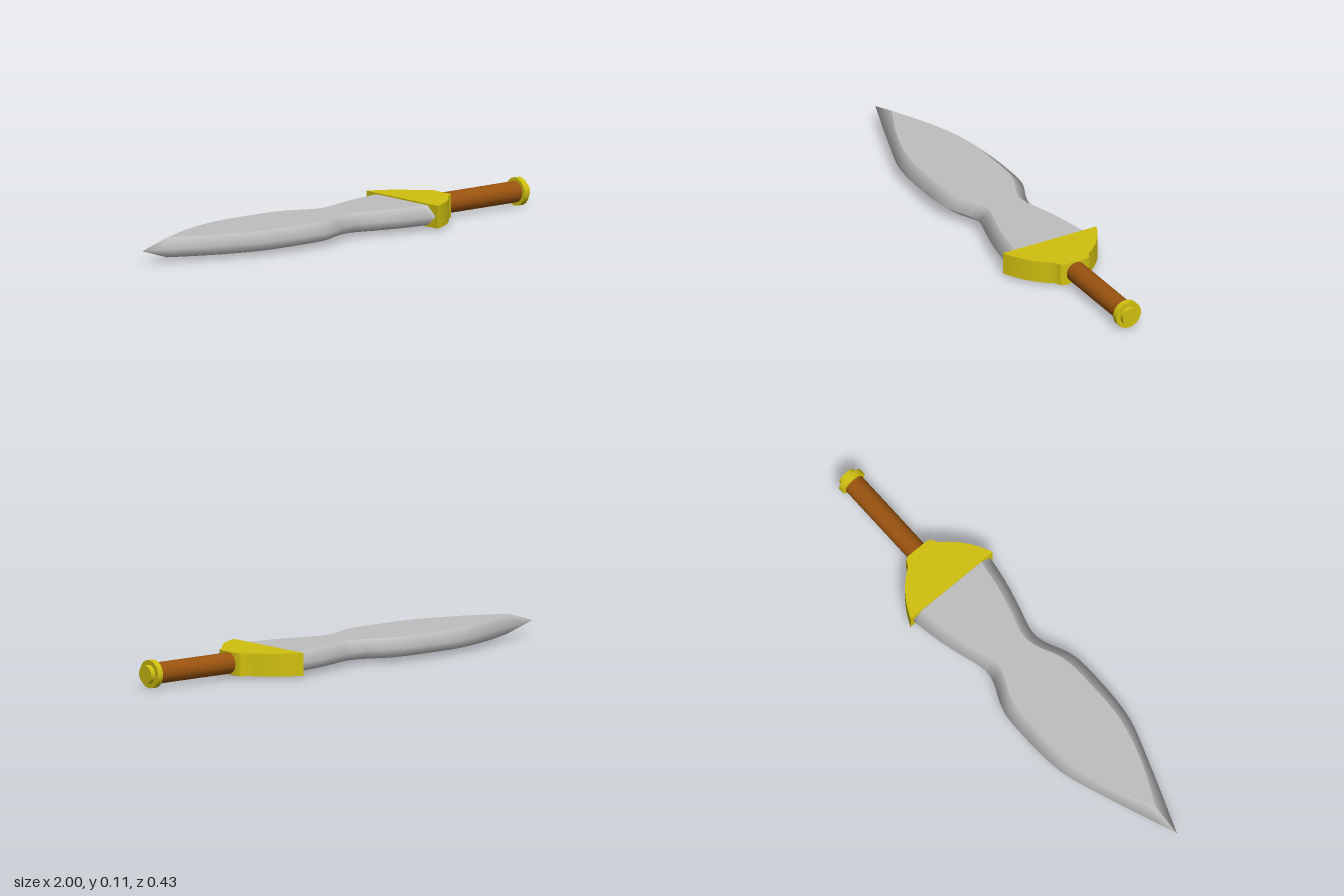
import * as THREE from 'three';
import { toCreasedNormals } from 'three/addons/utils/BufferGeometryUtils.js';

const MID = 0.06; // height of the sword's axis

const material = (name, color) => new THREE.MeshStandardMaterial({ name, color });

// Surface through columns of points; each column runs from tip to guard
function strip(columns) {
  const n = columns[0].length;
  const positions = columns.flatMap((col) => col.flatMap((p) => p.toArray()));
  const index = [];
  for (let c = 0; c < columns.length - 1; c++) {
    for (let i = 0; i < n - 1; i++) {
      const a = c * n + i, b = a + n;
      index.push(a, b, b + 1, a, b + 1, a + 1);
    }
  }
  const geometry = new THREE.BufferGeometry();
  geometry.setAttribute('position', new THREE.Float32BufferAttribute(positions, 3));
  geometry.setIndex(index);
  geometry.computeVertexNormals();
  return geometry;
}

// Smooth line along the blade from [x, half width] pairs
function bladeLine(points) {
  const curve = new THREE.CatmullRomCurve3(points.map(([x, z]) => new THREE.Vector3(x, 0, z)));
  return curve.getPoints((points.length - 1) * 4);
}

export function createModel() {
  const steel = material('steel', 0xbebebe);
  const gold = material('gold', 0xd0c010);
  const leather = material('brown grip', 0x9a530f);

  const model = new THREE.Group();
  model.name = 'sword';
  const add = (name, geometry, mat, parent = model) => {
    const mesh = new THREE.Mesh(geometry, mat);
    mesh.name = name;
    parent.add(mesh);
    return mesh;
  };

  // Leaf-shaped blade: flat faces with rounded bevels meeting at the edge
  const blade = new THREE.Group();
  blade.name = 'blade';
  model.add(blade);
  const edge = bladeLine([[-1, 0], [-0.69, 0.117], [-0.505, 0.177], [-0.31, 0.191], [-0.16, 0.182],
    [-0.04, 0.132], [0.02, 0.124], [0.135, 0.155], [0.245, 0.183], [0.37, 0.204]]);
  const flat = bladeLine([[-0.87, 0], [-0.69, 0.083], [-0.505, 0.136], [-0.31, 0.145], [-0.16, 0.135],
    [-0.04, 0.086], [0.02, 0.078], [0.135, 0.11], [0.245, 0.137], [0.37, 0.156]]);
  const column = (line, y, side) => line.map((p) => new THREE.Vector3(p.x, MID + y, p.z * side));
  const H = 0.04;
  const top = (s) => column(flat, H, s);
  const bottom = (s) => column(flat, -H, s);
  add('bladeTopFace', strip([top(-1), top(1)]), steel, blade);
  add('bladeBottomFace', strip([bottom(1), bottom(-1)]), steel, blade);
  add('leftBevel', strip([top(1), column(edge, 0, 1), bottom(1)]), steel, blade);
  add('rightBevel', strip([bottom(-1), column(edge, 0, -1), top(-1)]), steel, blade);

  // Guard: curved wedge narrowing to the grip
  const half = [[0.363, 0.215], [0.385, 0.206], [0.415, 0.19], [0.45, 0.168], [0.485, 0.139],
    [0.515, 0.107], [0.535, 0.08], [0.55, 0.072], [0.562, 0.066], [0.57, 0.05]];
  const outline = [...half, ...half.map(([x, z]) => [x, -z]).reverse()];
  const guardShape = new THREE.Shape(outline.map(([x, z]) => new THREE.Vector2(x, z)));
  const guardDepth = 0.092;
  const guardGeometry = new THREE.ExtrudeGeometry(guardShape, { depth: guardDepth, bevelEnabled: false });
  guardGeometry.rotateX(-Math.PI / 2).translate(0, MID - guardDepth / 2, 0);
  add('guard', toCreasedNormals(guardGeometry, 0.6), gold);

  // Round parts lying along x
  const round = (name, radius, x0, x1, mat) => {
    const geometry = new THREE.CylinderGeometry(radius, radius, x1 - x0, 18, 1, false, Math.PI / 2);
    geometry.rotateZ(-Math.PI / 2).translate((x0 + x1) / 2, MID, 0);
    add(name, geometry, mat);
  };
  round('grip', 0.043, 0.55, 0.96, leather);
  round('pommelDisc', 0.057, 0.955, 0.98, gold);
  round('pommelCap', 0.038, 0.975, 1, gold);

  model.position.y = 0.057 - MID;
  const root = new THREE.Group();
  root.name = 'swordModel';
  root.add(model);
  return root;
}
